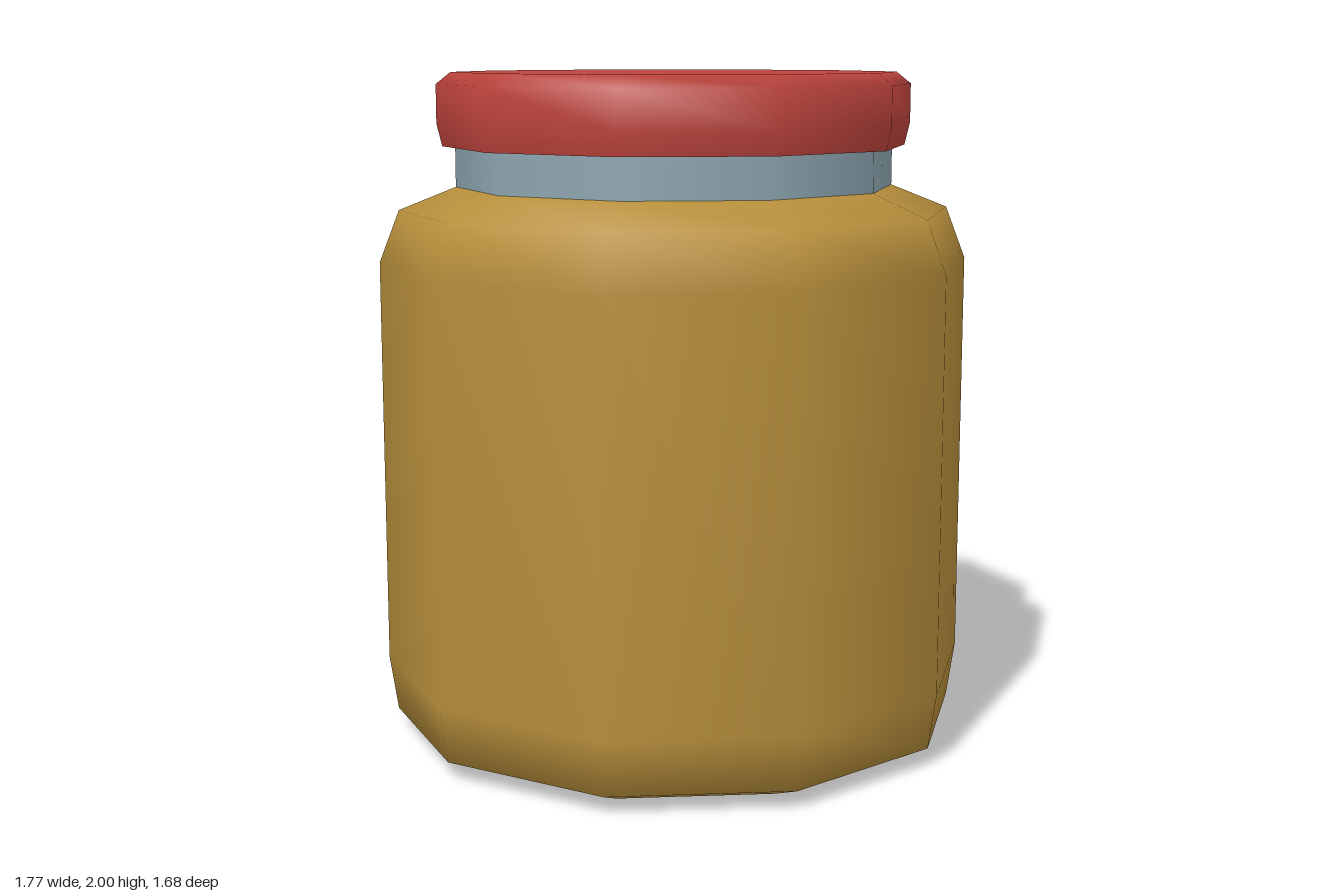
import * as THREE from 'three';

const SIDES = 10;

export function createModel() {
  const jar = new THREE.Group();
  jar.name = 'jar';

  const material = (name, color) => {
    const m = new THREE.MeshStandardMaterial({ color });
    m.name = name;
    return m;
  };
  const amber = material('amber', 0xb68e3b);
  const steel = material('blueGrey', 0x8ca5b0);
  const red = material('red', 0xbd433c);

  // Ten-sided smooth turning with a corner on the +x axis; profile runs bottom to top
  const turn = (name, profile, mat) => {
    const points = profile.map(([r, y]) => new THREE.Vector2(r, y));
    const mesh = new THREE.Mesh(new THREE.LatheGeometry(points, SIDES, Math.PI / 2), mat);
    mesh.name = name;
    jar.add(mesh);
  };

  // Body: closed base, softened foot, straight wall, sloping shoulder
  turn('body', [
    [0, 0], [0.722, 0], [0.86, 0.055], [0.885, 0.22],
    [0.885, 1.44], [0.825, 1.595], [0.65, 1.665],
  ], amber);

  // Neck band between shoulder and lid
  turn('neck', [[0.655, 1.66], [0.655, 1.79]], steel);

  // Lid: flat underside with a sharp rim, then the rounded cap
  turn('lidUnderside', [[0, 1.783], [0.693, 1.783]], red);
  turn('lid', [
    [0.693, 1.783], [0.709, 1.85], [0.709, 1.965], [0.665, 2], [0, 2],
  ], red);

  return jar;
}
